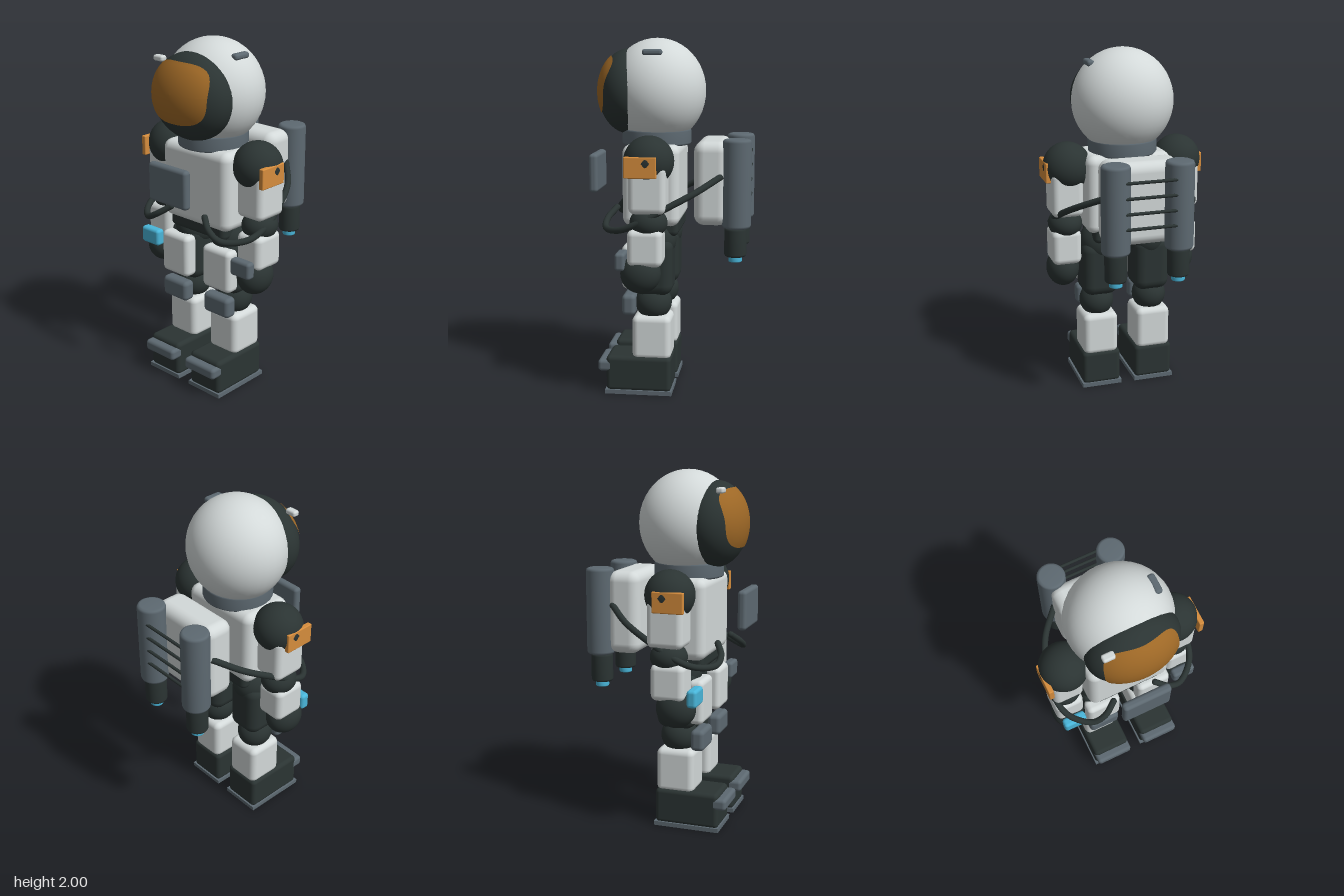
import * as THREE from 'three';
import { RoundedBoxGeometry } from 'three/addons/geometries/RoundedBoxGeometry.js';

const mat = (name, color) => {
  const m = new THREE.MeshStandardMaterial({ color });
  m.name = name;
  return m;
};

export function createModel() {
  const white = mat('suit white', 0xd3d9d9);
  const dark = mat('charcoal fabric', 0x2b3433);
  const slate = mat('slate metal', 0x5d6971);
  const gold = mat('gold visor', 0x9e6826);
  const orange = mat('orange patch', 0xd68d3d);
  const cyan = mat('cyan light', 0x49b6da);
  const suit = new THREE.Group();
  suit.name = 'spaceSuit';

  const add = (name, geo, material, x = 0, y = 0, z = 0) => {
    const m = new THREE.Mesh(geo, material);
    m.name = name;
    m.position.set(x, y, z);
    suit.add(m);
    return m;
  };
  // Rounded box given by its extents on each axis
  const box = (name, material, [x0, x1], [y0, y1], [z0, z1], r) =>
    add(name, new RoundedBoxGeometry(x1 - x0, y1 - y0, z1 - z0, 3, r), material,
      (x0 + x1) / 2, (y0 + y1) / 2, (z0 + z1) / 2);
  const ball = (name, material, x, y, z, rx, ry = rx, rz = rx) => {
    const m = add(name, new THREE.SphereGeometry(1, 36, 24), material, x, y, z);
    m.scale.set(rx, ry, rz);
    return m;
  };
  // Upright cylinder with bevelled rims
  const can = (name, material, x, z, r, y0, y1, b) =>
    add(name, new THREE.LatheGeometry([
      [0, y0], [r - b, y0], [r - b * 0.3, y0 + b * 0.3], [r, y0 + b],
      [r, y1 - b], [r - b * 0.3, y1 - b * 0.3], [r - b, y1], [0, y1],
    ].map(([a, c]) => new THREE.Vector2(a, c)), 32), material, x, 0, z);
  // Extents on one side, mirrored for the other
  const span = (s, a, b) => (s > 0 ? [a, b] : [-b, -a]);

  // Helmet, dark visor frame and collar
  ball('helmet', white, 0, 1.705, 0.085, 0.29, 0.295, 0.275);
  ball('visorFrame', dark, 0, 1.702, 0.245, 0.26, 0.24, 0.175);
  can('collar', slate, 0, 0.09, 0.197, 1.405, 1.495, 0.012);

  // Gold glass: a rounded rectangle wrapped over the visor frame
  const glass = new THREE.RingGeometry(0.001, 1, 64, 12);
  const p = glass.attributes.position;
  for (let i = 0; i < p.count; i++) {
    const r = Math.hypot(p.getX(i), p.getY(i));
    const c = p.getX(i) / r, s = p.getY(i) / r;
    const k = r / Math.pow(Math.abs(c) ** 3 + Math.abs(s) ** 3, 1 / 3);
    const x = c * k * 0.207, y = s * k * 0.163 + 0.04;
    const z = 0.18 * Math.sqrt(Math.max(0, 1 - (x / 0.264) ** 2 - (y / 0.244) ** 2));
    p.setXYZ(i, x, y, z);
  }
  glass.computeVertexNormals();
  add('visorGlass', glass, gold, 0, 1.702, 0.246);

  box('helmetSensor', slate, [0.172, 0.215], [1.905, 1.94], [0.032, 0.142], 0.015);
  box('helmetLamp', white, [-0.205, -0.137], [1.88, 1.912], [0.3, 0.342], 0.012);

  // Torso, belt and chest panel
  box('torso', white, [-0.247, 0.247], [0.965, 1.42], [-0.065, 0.255], 0.05);
  box('belt', dark, [-0.207, 0.207], [0.905, 1.01], [-0.055, 0.235], 0.03);
  box('chestPanel', slate, [-0.142, 0.142], [1.135, 1.355], [0.41, 0.46], 0.02);

  // Backpack with rungs between its tanks
  box('backpack', white, [-0.222, 0.222], [0.97, 1.44], [-0.335, -0.14], 0.06);
  for (let i = 0; i < 4; i++) {
    const rung = add('tankRung', new THREE.CylinderGeometry(0.009, 0.009, 0.34, 10), dark,
      0, 1.11 + i * 0.085, -0.443);
    rung.rotation.z = Math.PI / 2;
  }

  for (const s of [1, -1]) {
    const side = s > 0 ? 'left' : 'right';

    // Thruster tank, nozzle and glow
    can(side + 'Tank', slate, s * 0.18, -0.38, 0.08, 0.96, 1.455, 0.018);
    can(side + 'Nozzle', dark, s * 0.18, -0.375, 0.062, 0.8, 0.965, 0.015);
    can(side + 'NozzleGlow', cyan, s * 0.18, -0.375, 0.038, 0.77, 0.805, 0.006);

    // Hose from the backpack round the elbow to the waist
    const path = new THREE.CatmullRomCurve3([
      [0.21, 1.25, -0.295], [0.33, 1.175, -0.165], [0.39, 1.1, -0.02], [0.415, 1.02, 0.13],
      [0.385, 0.972, 0.24], [0.28, 0.965, 0.335], [0.2, 1.005, 0.34], [0.13, 1.055, 0.3],
    ].map(([x, y, z]) => new THREE.Vector3(s * x, y, z)));
    add(side + 'Hose', new THREE.TubeGeometry(path, 60, 0.018, 12), dark);
    ball(side + 'HoseEnd', dark, s * 0.13, 1.055, 0.3, 0.018);

    // Arm
    ball(side + 'Shoulder', dark, s * 0.327, 1.345, 0.088, 0.138);
    box(side + 'ShoulderPatch', orange, span(s, 0.434, 0.463), [1.265, 1.38], [0.03, 0.205], 0.006);
    box(side + 'UpperArm', white, span(s, 0.255, 0.435), [1.065, 1.33], [-0.015, 0.19], 0.035);
    ball(side + 'Elbow', dark, s * 0.345, 1.01, 0.088, 0.098, 0.07 + 0.015, 0.104);
    box(side + 'Forearm', white, span(s, 0.265, 0.435), [0.775, 0.98], [0.005, 0.198], 0.035);
    ball(side + 'Glove', dark, s * 0.354, 0.727, 0.132, 0.095, 0.11, 0.112);
    box(side + 'WristDevice', s > 0 ? slate : cyan, span(s, 0.283, 0.421), [0.75, 0.848],
      [0.21, 0.267], 0.018);

    // Leg
    ball(side + 'Hip', dark, s * 0.145, 0.88, 0.085, 0.115, 0.12, 0.125);
    box(side + 'Thigh', dark, span(s, 0.05, 0.262), [0.57, 0.9], [-0.027, 0.2], 0.06);
    box(side + 'ThighPlate', white, span(s, 0.058, 0.265), [0.61, 0.862], [0.165, 0.255], 0.03);
    ball(side + 'Knee', dark, s * 0.163, 0.52, 0.088, 0.1, 0.1, 0.104);
    box(side + 'KneePad', slate, span(s, 0.07, 0.258), [0.455, 0.575], [0.18, 0.258], 0.025);
    box(side + 'Shin', white, span(s, 0.058, 0.265), [0.2, 0.455], [-0.02, 0.2], 0.035);
    box(side + 'Boot', dark, span(s, 0.047, 0.275), [0.015, 0.22], [-0.022, 0.348], 0.025);
    box(side + 'ToeCap', slate, span(s, 0.047, 0.275), [0.128, 0.195], [0.305, 0.395], 0.02);
    add(side + 'Sole', new THREE.BoxGeometry(0.24, 0.024, 0.38), slate, s * 0.161, 0.012, 0.163);
  }
  return suit;
}
